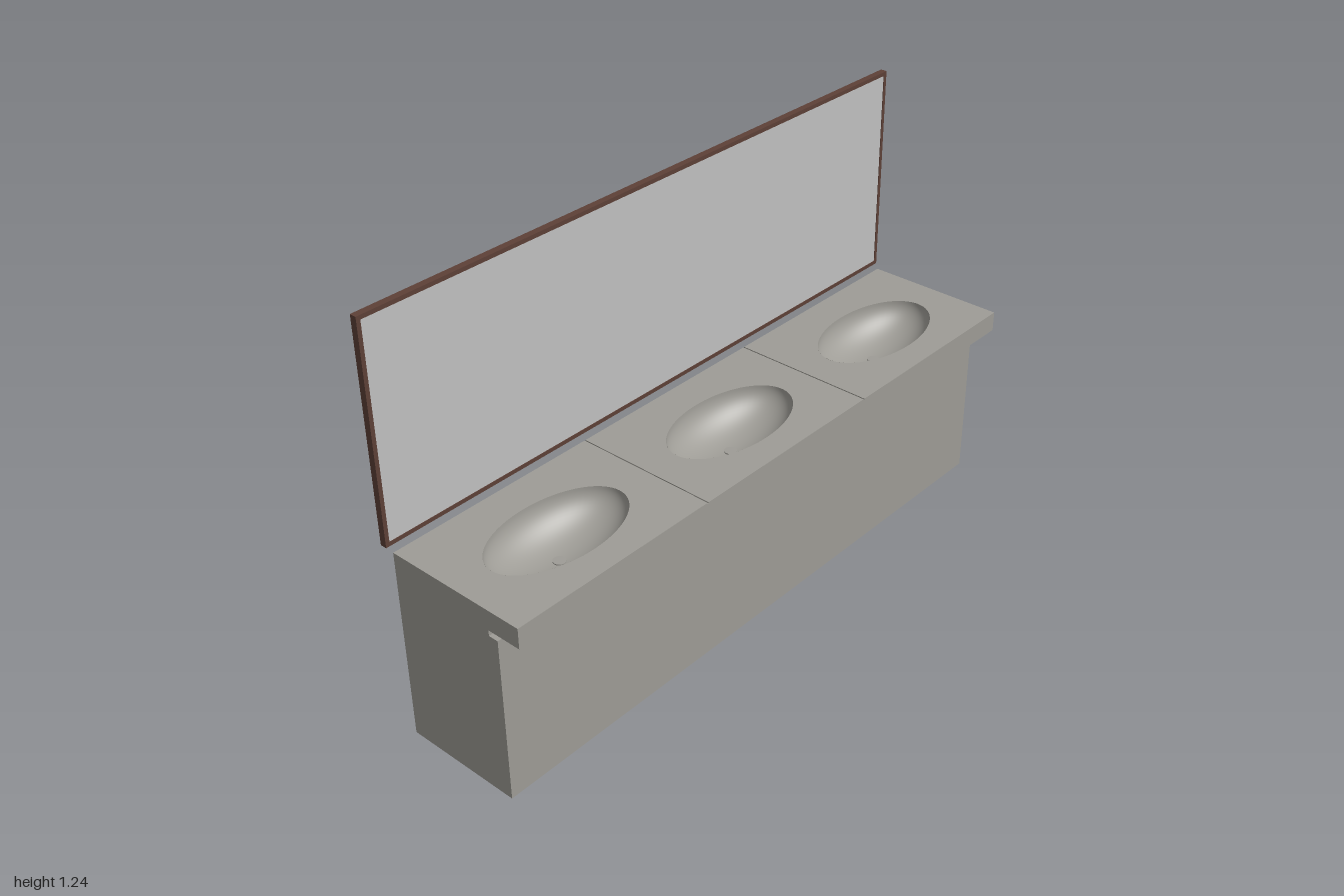
import * as THREE from 'three';

const mat = (name, color, side = THREE.FrontSide) => {
  const m = new THREE.MeshStandardMaterial({ color, side });
  m.name = name;
  return m;
};

export function createModel() {
  const group = new THREE.Group();
  const stone = mat('warm grey stone', 0x9e9c96, THREE.DoubleSide);
  const wood = mat('dark brown wood', 0x5d4037);
  const glass = mat('mirror grey', 0xc0c0c0);

  const add = (name, geometry, material, x = 0, y = 0, z = 0) => {
    const mesh = new THREE.Mesh(geometry, material);
    mesh.name = name;
    mesh.position.set(x, y, z);
    group.add(mesh);
    return mesh;
  };
  const box = (name, material, x0, x1, y0, y1, z0, z1) =>
    add(name, new THREE.BoxGeometry(x1 - x0, y1 - y0, z1 - z0), material,
      (x0 + x1) / 2, (y0 + y1) / 2, (z0 + z1) / 2);

  const left = -0.995, right = 0.982, back = -0.2, front = 0.24;
  const top = 0.586, seat = 0.583, unit = (right - left) / 3;

  // Cabinet and overhanging counter: one side profile (z, y) swept along x
  const profile = new THREE.Shape([
    [back, 0], [0.165, 0], [0.165, 0.508], [0.135, 0.508],
    [0.135, 0.525], [front, 0.525], [front, seat], [back, seat],
  ].map(([z, y]) => new THREE.Vector2(z, y)));
  const swept = new THREE.ExtrudeGeometry(profile, { depth: right - left, bevelEnabled: false });
  swept.rotateY(-Math.PI / 2).translate(right, 0, 0);
  // Leave the top open so the basins can sink into it
  const p = swept.attributes.position, kept = [];
  for (let i = 0; i < p.count; i += 3) {
    if ([0, 1, 2].every(k => p.getY(i + k) > seat - 1e-4)) continue;
    for (let k = 0; k < 3; k++) kept.push(p.getX(i + k), p.getY(i + k), p.getZ(i + k));
  }
  const body = new THREE.BufferGeometry();
  body.setAttribute('position', new THREE.Float32BufferAttribute(kept, 3));
  body.computeVertexNormals();
  add('cabinet', body, stone);

  // Three counter tops, each with an oval basin and a drain
  const rx = 0.222, rz = 0.126, depth = 0.1, bowlZ = 0.033, gap = 0.0025;
  const bowlProfile = [];
  for (let i = 0; i <= 20; i++) {
    const a = (i / 20) * Math.PI / 2;
    bowlProfile.push(new THREE.Vector2(i === 20 ? 0 : Math.cos(a), -Math.sin(a)));
  }
  for (let i = 0; i < 3; i++) {
    const x0 = left + i * unit + (i > 0 ? gap : 0);
    const x1 = left + (i + 1) * unit - (i < 2 ? gap : 0);
    const cx = left + (i + 0.5) * unit;

    const outline = new THREE.Shape([
      new THREE.Vector2(x0, -front), new THREE.Vector2(x1, -front),
      new THREE.Vector2(x1, -back), new THREE.Vector2(x0, -back),
    ]);
    const hole = new THREE.Path();
    hole.absellipse(cx, -bowlZ, rx, rz, 0, Math.PI * 2, true);
    outline.holes.push(hole);
    const slab = new THREE.ExtrudeGeometry(outline,
      { depth: top - seat, bevelEnabled: false, curveSegments: 64 });
    add('counterTop', slab.rotateX(-Math.PI / 2), stone, 0, seat, 0);

    const bowl = new THREE.LatheGeometry(bowlProfile, 64).scale(rx, depth, rz);
    add('basin', bowl, stone, cx, top, bowlZ);
    add('drain', new THREE.CylinderGeometry(0.018, 0.018, 0.005, 32), stone,
      cx, top - depth + 0.001, bowlZ);

    // Floor of the joint between neighbouring tops
    if (i < 2) {
      const strip = new THREE.PlaneGeometry(gap * 4, front - back).rotateX(-Math.PI / 2);
      add('joint', strip, stone, left + (i + 1) * unit, seat, (front + back) / 2);
    }
  }

  // Framed mirror standing behind the counter
  const y0 = 0.593, y1 = 1.237, zBack = -0.239, zFront = -0.219, rim = 0.012;
  box('mirrorBacking', wood, -1, 1, y0, y1, zBack, -0.225);
  box('mirrorPane', glass, -1 + rim, 1 - rim, y0 + rim, y1 - rim, -0.225, -0.2205);
  for (const s of [-1, 1]) {
    const x = s * (1 - rim / 2);
    box('frameSide', wood, x - rim / 2, x + rim / 2, y0, y1, -0.225, zFront);
  }
  for (const y of [y0, y1 - rim]) {
    box('frameRail', wood, -1 + rim, 1 - rim, y, y + rim, -0.225, zFront);
  }
  return group;
}
